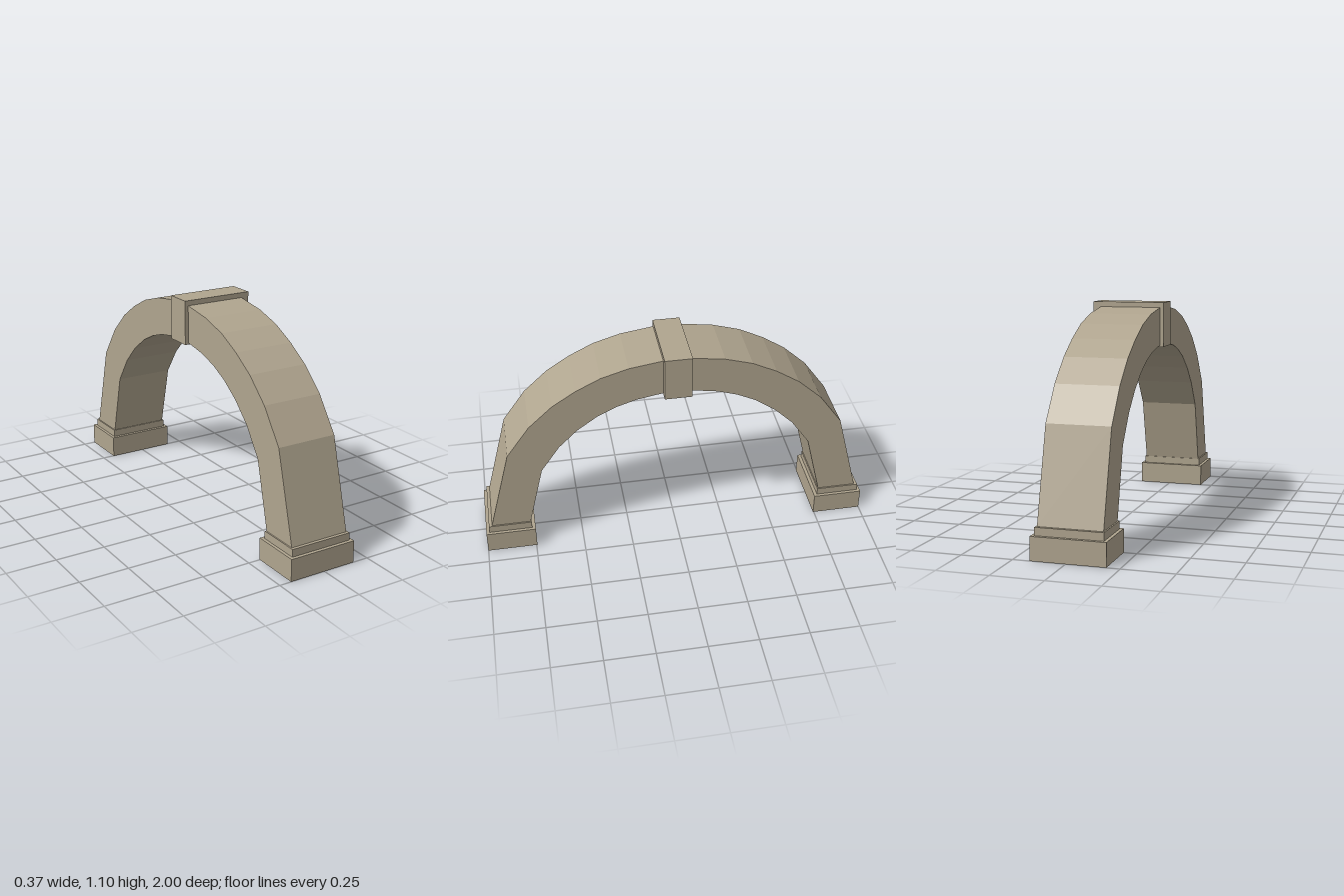
import * as THREE from 'three';

export function createModel() {
  const group = new THREE.Group();
  const stone = new THREE.MeshStandardMaterial({ color: 0xb0a58f });
  stone.name = 'sandstone';

  // Box given by its limits on each axis
  function block(name, [x0, x1], [y0, y1], [z0, z1]) {
    const mesh = new THREE.Mesh(new THREE.BoxGeometry(x1 - x0, y1 - y0, z1 - z0), stone);
    mesh.position.set((x0 + x1) / 2, (y0 + y1) / 2, (z0 + z1) / 2);
    mesh.name = name;
    group.add(mesh);
  }

  // Faceted arch band: half profiles from the foot to the crown, mirrored
  const outer = [[0.967, 0.15], [0.85, 0.593], [0.732, 0.757], [0.612, 0.868],
    [0.495, 0.944], [0.372, 1.005], [0.235, 1.046], [0.065, 1.071]];
  const inner = [[0.768, 0.15], [0.687, 0.48], [0.592, 0.617], [0.497, 0.71],
    [0.395, 0.782], [0.3, 0.828], [0.2, 0.86], [0.06, 0.884]];
  const mirror = (points) => points.map(([z, y]) => [-z, y]).reverse();
  const outline = [...outer, ...mirror(outer), ...mirror(inner).reverse(), ...inner.slice().reverse()];
  const shape = new THREE.Shape(outline.map(([z, y]) => new THREE.Vector2(z, y)));
  const bandGeometry = new THREE.ExtrudeGeometry(shape, { depth: 0.31, bevelEnabled: false });
  bandGeometry.rotateY(Math.PI / 2).translate(-0.165, 0, 0);
  const band = new THREE.Mesh(bandGeometry, stone);
  band.name = 'archBand';
  group.add(band);

  // Keystone at the crown
  block('keystone', [-0.183, 0.186], [0.874, 1.096], [-0.068, 0.068]);

  // Stepped footing under each end
  for (const [side, s] of [['front', 1], ['back', -1]]) {
    const span = (a, b) => (s > 0 ? [a, b] : [-b, -a]);
    block(side + 'Plinth', [-0.188, 0.168], [0, 0.112], span(0.746, 1));
    block(side + 'PlinthStep', [-0.172, 0.152], [0.112, 0.15], span(0.763, 0.983));
  }
  return group;
}
